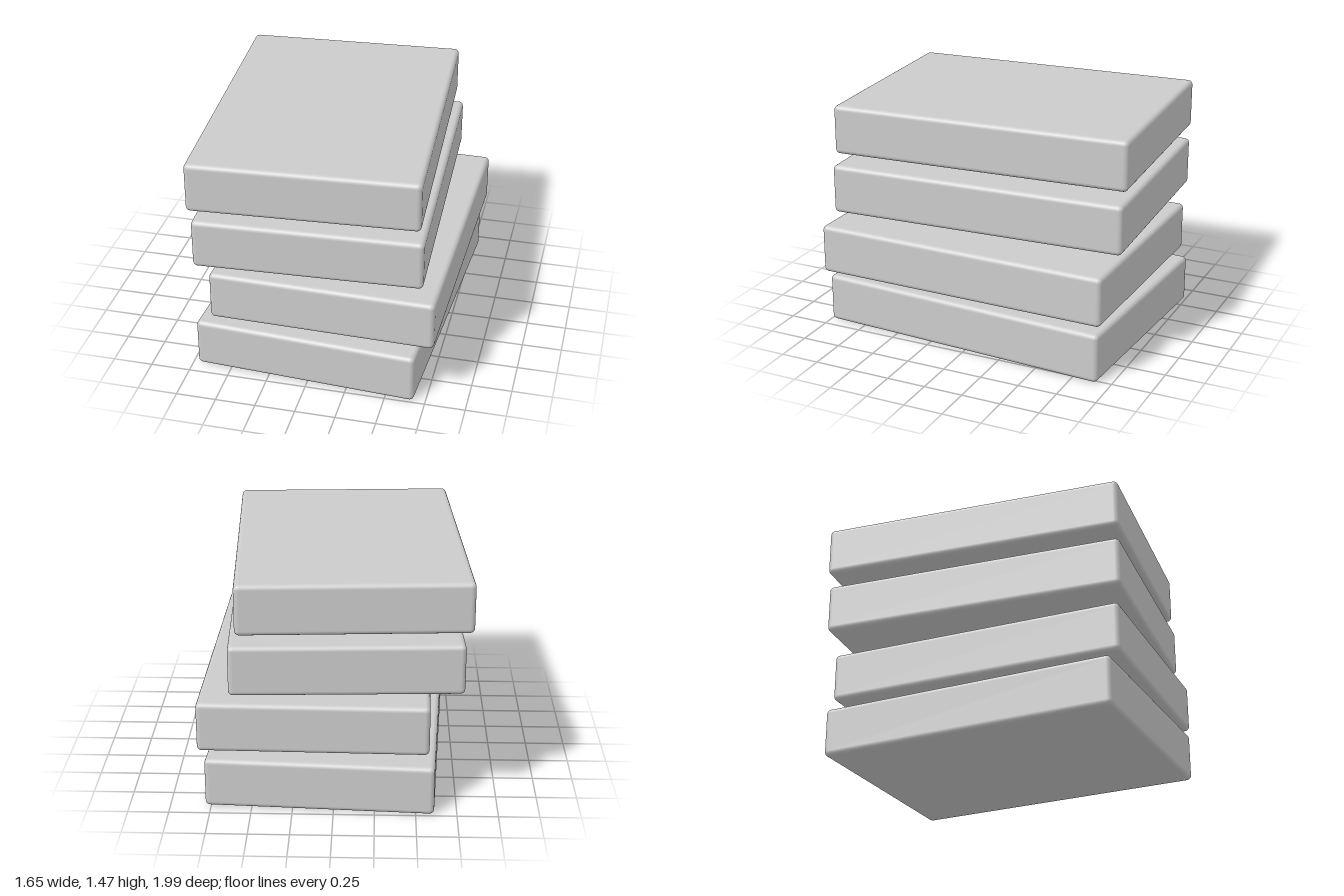
import * as THREE from 'three';
import { RoundedBoxGeometry } from 'three/addons/geometries/RoundedBoxGeometry.js';

export function createModel() {
  const model = new THREE.Group();
  model.name = 'slabStack';

  const material = new THREE.MeshStandardMaterial({ color: 0xcccccc });
  const height = 0.313;
  const pitch = 0.385;
  const geometry = new RoundedBoxGeometry(1.4, height, 1.913, 3, 0.03);

  // Slabs from bottom to top: sideways shift and twist about the vertical axis
  const slabs = [
    { name: 'bottomSlab', x: 0.033, twist: -0.058 },
    { name: 'lowerMiddleSlab', x: 0.105, twist: -0.02 },
    { name: 'upperMiddleSlab', x: -0.038, twist: 0.045 },
    { name: 'topSlab', x: -0.072, twist: 0.057 },
  ];

  slabs.forEach(({ name, x, twist }, i) => {
    const slab = new THREE.Mesh(geometry, material);
    slab.name = name;
    slab.position.set(x, height / 2 + i * pitch, 0);
    slab.rotation.y = twist;
    model.add(slab);
  });

  return model;
}
